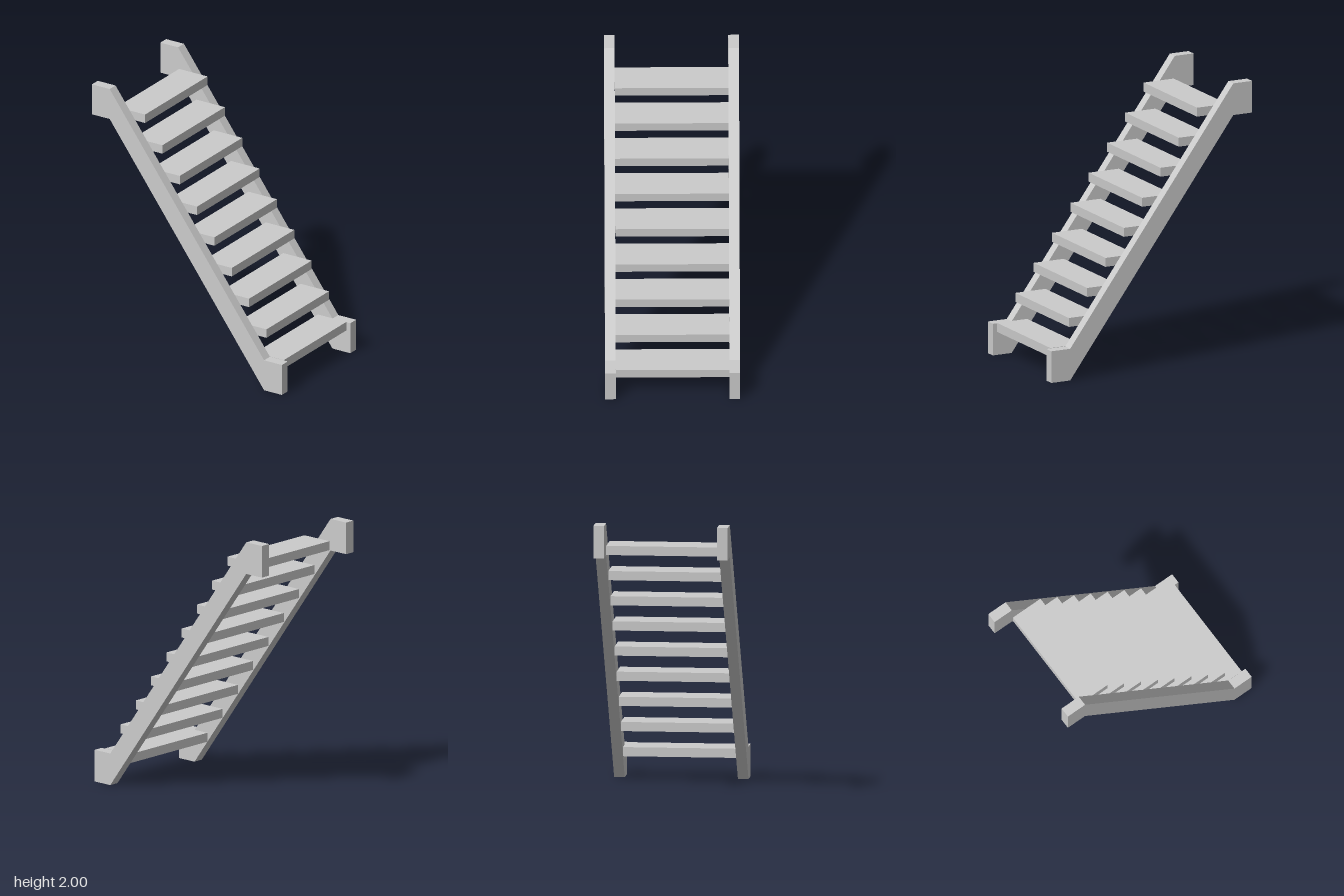
import * as THREE from 'three';

export function createModel() {
  const group = new THREE.Group();
  const material = new THREE.MeshStandardMaterial({ color: 0xcccccc, flatShading: true });

  // Side stringers: sloped boards with square ends at top and bottom
  const outline = new THREE.Shape([
    [-0.8, 1.77], [-0.65, 1.77], [0.65, 0], [0.8, 0],
    [0.8, 0.23], [0.65, 0.23], [-0.65, 2], [-0.8, 2],
  ].map(([x, y]) => new THREE.Vector2(x, y)));
  const thickness = 0.075, innerZ = 0.4;
  const stringerGeometry = new THREE.ExtrudeGeometry(outline, { depth: thickness, bevelEnabled: false });
  for (const [name, z] of [['frontStringer', innerZ], ['backStringer', -innerZ - thickness]]) {
    const stringer = new THREE.Mesh(stringerGeometry, material);
    stringer.name = name;
    stringer.position.z = z;
    group.add(stringer);
  }

  // Nine evenly spaced open treads between the stringers
  const depth = 0.24;
  const treadGeometry = new THREE.BoxGeometry(depth, 0.065, innerZ * 2);
  for (let i = 0; i < 9; i++) {
    const tread = new THREE.Mesh(treadGeometry, material);
    tread.name = `tread${i + 1}`;
    tread.position.set(0.767 - depth / 2 - i * 0.146, 0.2 + i * 0.2005, 0);
    group.add(tread);
  }
  return group;
}
